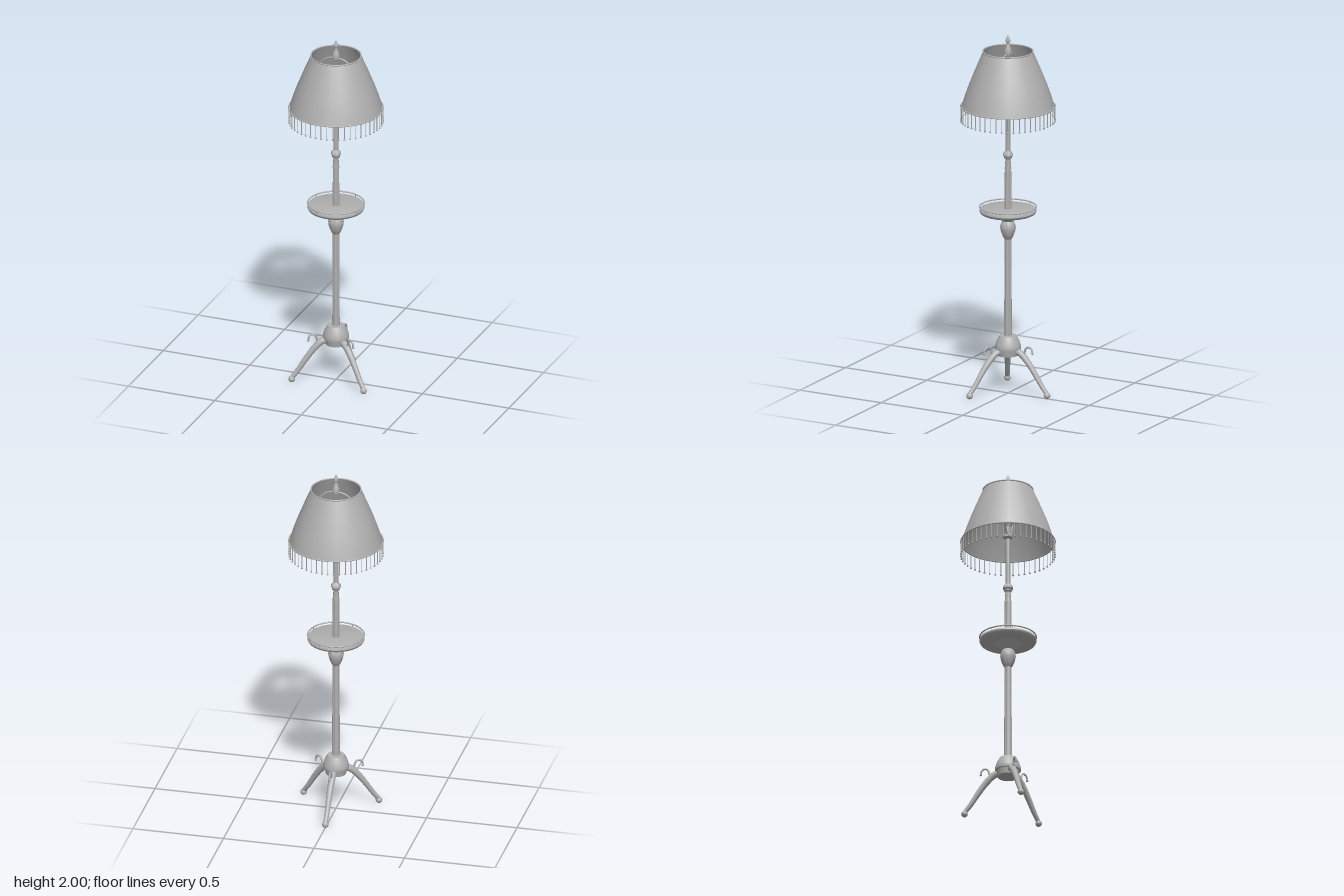
import * as THREE from 'three';
import { toCreasedNormals } from 'three/addons/utils/BufferGeometryUtils.js';

const grey = new THREE.MeshStandardMaterial({ color: 0xb0b0b0 });
grey.name = 'grey';
const greyOpen = new THREE.MeshStandardMaterial({ color: 0xb0b0b0, side: THREE.DoubleSide });
greyOpen.name = 'grey open surface';

function add(parent, name, geometry, material = grey) {
  const mesh = new THREE.Mesh(geometry, material);
  mesh.name = name;
  parent.add(mesh);
  return mesh;
}

// Turned part from [radius, height] pairs listed bottom to top
function turned(profile, sides = 24) {
  const points = profile.map(([r, y]) => new THREE.Vector2(r, y));
  return toCreasedNormals(new THREE.LatheGeometry(points, sides), 0.65);
}

// Tube through [x, y] points whose radius runs from r0 to r1
function taperedTube(points, r0, r1, steps = 20, sides = 10) {
  const curve = new THREE.CatmullRomCurve3(points.map(([x, y]) => new THREE.Vector3(x, y, 0)));
  const geometry = new THREE.TubeGeometry(curve, steps, 1, sides);
  const pos = geometry.attributes.position;
  const v = new THREE.Vector3();
  for (let i = 0; i < pos.count; i++) {
    const t = Math.floor(i / (sides + 1)) / steps;
    const centre = curve.getPointAt(t);
    v.fromBufferAttribute(pos, i).sub(centre).multiplyScalar(r0 + (r1 - r0) * t).add(centre);
    pos.setXYZ(i, v.x, v.y, v.z);
  }
  return geometry;
}

// Column with eight shallow flutes
function flutedPole(y0, y1, r0, r1) {
  const geometry = new THREE.CylinderGeometry(r1, r0, y1 - y0, 32, 1, true);
  const pos = geometry.attributes.position;
  for (let i = 0; i < pos.count; i++) {
    const x = pos.getX(i), z = pos.getZ(i);
    const k = 0.91 + 0.09 * Math.cos(8 * Math.atan2(z, x));
    pos.setXYZ(i, x * k, pos.getY(i), z * k);
  }
  geometry.computeVertexNormals();
  return geometry.translate(0, (y0 + y1) / 2, 0);
}

function ring(radius, thickness, y) {
  return new THREE.TorusGeometry(radius, thickness, 8, 64).rotateX(Math.PI / 2).translate(0, y, 0);
}

export function createModel() {
  const lamp = new THREE.Group();
  lamp.name = 'floorLamp';

  // Base hub
  add(lamp, 'baseHub', turned([[0, 0.213], [0.056, 0.213], [0.062, 0.245], [0.069, 0.247],
    [0.071, 0.255], [0.069, 0.268], [0.061, 0.295], [0.046, 0.322], [0, 0.324]]));

  // Three legs, each with a ball foot and a hook
  for (const angle of [Math.PI / 2, -Math.PI / 6, -Math.PI * 5 / 6]) {
    const leg = new THREE.Group();
    leg.name = 'legAssembly';
    leg.rotation.y = angle;
    add(leg, 'leg', taperedTube([[0.035, 0.242], [0.075, 0.232], [0.12, 0.19],
      [0.165, 0.13], [0.205, 0.07], [0.24, 0.025]], 0.02, 0.012));
    add(leg, 'foot', new THREE.SphereGeometry(0.018, 16, 10).translate(0.24, 0.018, 0));
    add(leg, 'hook', taperedTube([[0.085, 0.222], [0.1, 0.235], [0.106, 0.255], [0.118, 0.27],
      [0.136, 0.27], [0.148, 0.256], [0.15, 0.24]], 0.006, 0.005, 24, 8));
    add(leg, 'hookTip', new THREE.SphereGeometry(0.007, 10, 8).translate(0.15, 0.24, 0));
    lamp.add(leg);
  }

  // Column and turned vase below the tray
  add(lamp, 'lowerPole', flutedPole(0.32, 0.88, 0.022, 0.019));
  add(lamp, 'vase', turned([[0.018, 0.86], [0.024, 0.868], [0.034, 0.89], [0.041, 0.915],
    [0.042, 0.93], [0.037, 0.95], [0.03, 0.962], [0.036, 0.968], [0.046, 0.978],
    [0.06, 0.99], [0.072, 1.004]]));

  // Tray with a thin gallery rail
  add(lamp, 'tray', turned([[0, 1.002], [0.138, 1.002], [0.149, 1.008], [0.154, 1.018],
    [0.152, 1.027], [0.146, 1.029], [0, 1.029]], 48));
  add(lamp, 'trayRail', ring(0.152, 0.004, 1.04));
  for (let i = 0; i < 8; i++) {
    const a = i * Math.PI / 4 + Math.PI / 8;
    add(lamp, 'railPost', new THREE.CylinderGeometry(0.002, 0.002, 0.014, 6)
      .translate(Math.cos(a) * 0.15, 1.033, Math.sin(a) * 0.15));
  }

  // Upper pole with a turned knob, socket and bulb
  add(lamp, 'upperPole', flutedPole(1.028, 1.25, 0.02, 0.018));
  add(lamp, 'poleNeck', turned([[0.018, 1.25], [0.014, 1.305], [0.02, 1.31], [0.021, 1.318],
    [0.028, 1.326], [0.028, 1.336], [0.02, 1.348], [0.013, 1.354], [0.012, 1.62],
    [0.026, 1.628], [0.026, 1.64], [0.018, 1.648], [0.018, 1.69], [0, 1.69]]));
  add(lamp, 'bulb', turned([[0.015, 1.685], [0.02, 1.7], [0.035, 1.73], [0.041, 1.755],
    [0.036, 1.778], [0.02, 1.792], [0, 1.796]]));

  // Harp carrying the shade
  for (const side of [1, -1]) {
    add(lamp, 'harpArm', taperedTube([[0, 1.645], [0.04, 1.648], [0.08, 1.69], [0.104, 1.76],
      [0.098, 1.83], [0.06, 1.88], [0.01, 1.896]].map(([x, y]) => [x * side, y]),
    0.0045, 0.0045, 32, 8));
  }

  // Finial
  add(lamp, 'finial', turned([[0, 1.885], [0.018, 1.888], [0.02, 1.9], [0.019, 1.915],
    [0.014, 1.93], [0.009, 1.945], [0.008, 1.953], [0.013, 1.964], [0.012, 1.973],
    [0.006, 1.988], [0, 2]], 16));

  // Shade with top and bottom rims
  const shade = new THREE.LatheGeometry([[0.25, 1.602], [0.233, 1.66], [0.21, 1.725],
    [0.174, 1.815], [0.134, 1.908]].map(([r, y]) => new THREE.Vector2(r, y)), 24);
  add(lamp, 'shade', shade, greyOpen);
  add(lamp, 'shadeTopRim', ring(0.134, 0.004, 1.908));
  add(lamp, 'shadeBottomRim', ring(0.253, 0.004, 1.602));

  // Beaded fringe
  const fringe = new THREE.Group();
  fringe.name = 'fringe';
  const strand = new THREE.CylinderGeometry(0.0022, 0.0022, 0.076, 6).translate(0.253, 1.563, 0);
  const bead = new THREE.SphereGeometry(0.0055, 8, 6).translate(0.253, 1.524, 0);
  const count = 50;
  for (let i = 0; i < count; i++) {
    const a = i * 2 * Math.PI / count;
    add(fringe, 'fringeStrand', strand).rotation.y = a;
    add(fringe, 'fringeBead', bead).rotation.y = a;
  }
  lamp.add(fringe);

  return lamp;
}
